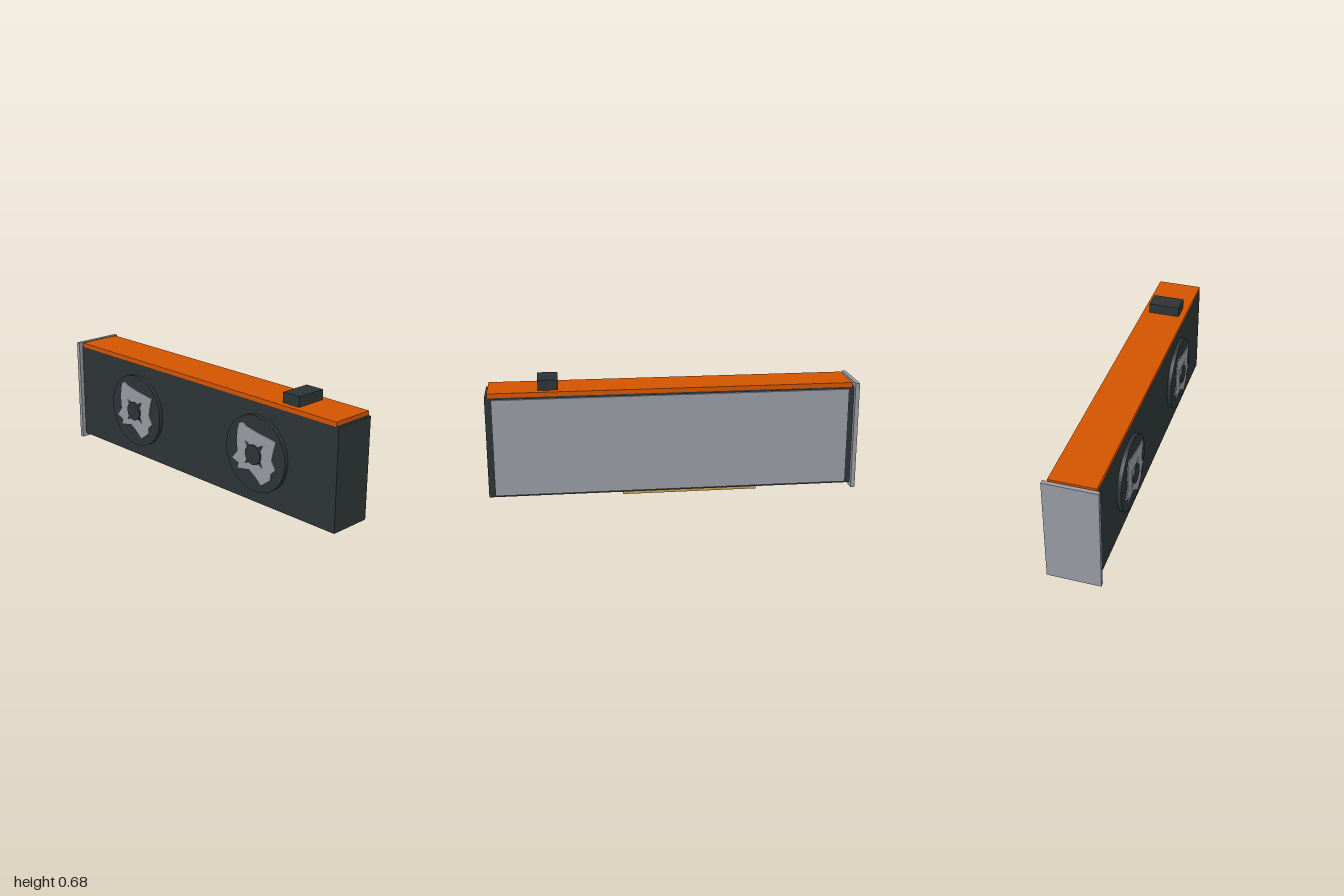
import * as THREE from 'three';

const material = (name, color) => {
  const m = new THREE.MeshStandardMaterial({ color });
  m.name = name;
  return m;
};

export function createModel() {
  const model = new THREE.Group();
  model.name = 'graphicsCard';
  const dark = material('charcoal', 0x2d3436);
  const orange = material('orange', 0xd35400);
  const grey = material('metalGrey', 0x9699a2);
  const gold = material('contactGold', 0xc29b4a);

  // Box given by its lower and upper limits on each axis
  const box = (name, mat, [x0, x1], [y0, y1], [z0, z1]) => {
    const mesh = new THREE.Mesh(new THREE.BoxGeometry(x1 - x0, y1 - y0, z1 - z0), mat);
    mesh.position.set((x0 + x1) / 2, (y0 + y1) / 2, (z0 + z1) / 2);
    mesh.name = name;
    model.add(mesh);
  };

  box('shroud', dark, [-0.975, 0.999], [0.055, 0.604], [-0.13, 0.111]);
  box('topStrip', orange, [-0.965, 0.985], [0.603, 0.627], [-0.132, 0.113]);
  box('backplate', grey, [-0.945, 0.965], [0.066, 0.593], [-0.143, -0.129]);
  box('mountingBracket', grey, [-1, -0.977], [0.034, 0.627], [-0.152, 0.133]);
  box('edgeConnector', gold, [-0.47, 0.275], [0, 0.056], [-0.02, 0.002]);
  box('powerSocket', dark, [0.615, 0.722], [0.626, 0.682], [-0.096, 0.079]);

  // Flat four-pointed fan rotor with slits beside the hub
  const outline = [
    [-15, 29], [-10, 26], [5, 23], [28, 20], [25, 10], [23, 0], [28, -8], [22, -14],
    [22, -20], [10, -29], [2, -22], [-6, -17], [-22, -20], [-20, -14], [-29, -11],
    [-22, -2], [-23, 10], [-22, 20], [-20, 27],
  ].map(([x, y]) => new THREE.Vector2(x, y).multiplyScalar(0.0054));
  const rotorShape = new THREE.Shape(outline);
  for (let i = 0; i < 4; i++) {
    const a = 0.8 + (i * Math.PI) / 2;
    const at = (r, t) => new THREE.Vector2(r * Math.cos(a + t), r * Math.sin(a + t));
    rotorShape.holes.push(new THREE.Path([at(0.042, -0.4), at(0.088, 0), at(0.042, 0.4)]));
  }
  const rotorGeometry = new THREE.ExtrudeGeometry(rotorShape, { depth: 0.006, bevelEnabled: false });

  // Round part facing forward between two depths
  const disc = (name, mat, radius, z0, z1) => {
    const mesh = new THREE.Mesh(new THREE.CylinderGeometry(radius, radius, z1 - z0, 48), mat);
    mesh.rotation.x = Math.PI / 2;
    mesh.position.z = (z0 + z1) / 2;
    mesh.name = name;
    return mesh;
  };

  for (const x of [-0.463, 0.481]) {
    const fan = new THREE.Group();
    fan.name = x < 0 ? 'rightFan' : 'leftFan';
    fan.position.set(x, 0.33, 0);
    const rotor = new THREE.Mesh(rotorGeometry, grey);
    rotor.name = 'fanBlades';
    rotor.position.z = 0.137;
    fan.add(disc('fanRing', dark, 0.207, 0.11, 0.133), rotor, disc('fanHub', dark, 0.053, 0.132, 0.152));
    model.add(fan);
  }
  return model;
}
